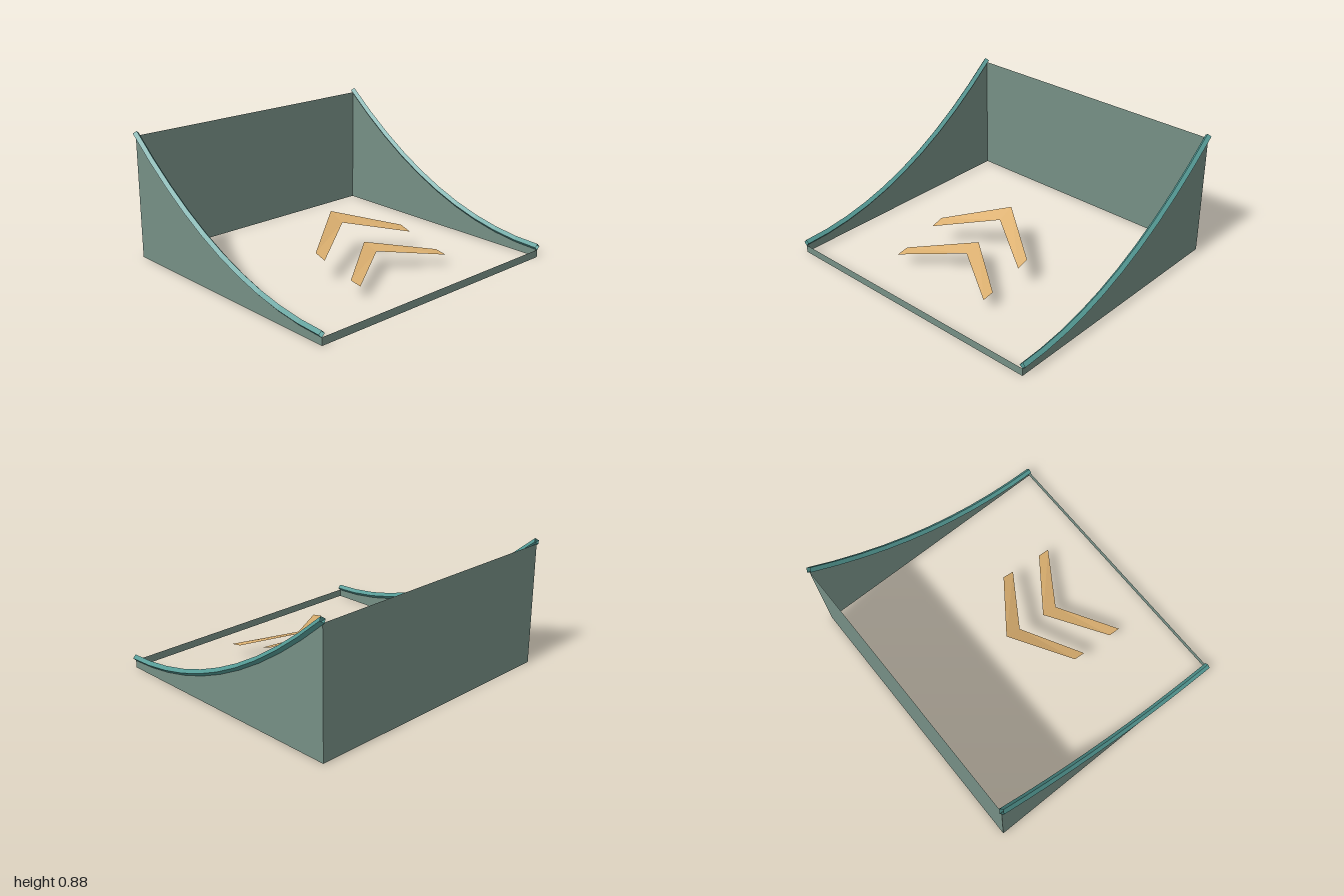
import * as THREE from 'three';

const FRONT = 0.915, BACK = -0.9, LOW = 0.053, HIGH = 0.848, SIDE = 0.978;
const STEPS = 10;

// Height of the ramp's curve at depth z
function rampY(z) {
  const t = (FRONT - z) / (FRONT - BACK);
  return LOW + (HIGH - LOW) * t * t;
}

export function createModel() {
  const group = new THREE.Group();
  const material = (name, color) => {
    const m = new THREE.MeshStandardMaterial({ color, flatShading: true, side: THREE.DoubleSide });
    m.name = name;
    return m;
  };
  const wallMat = material('greyGreen', 0x768f85);
  const railMat = material('teal', 0x549a95);
  const arrowMat = material('sand', 0xdcb070);

  const add = (name, geometry, mat, x = 0, y = 0, z = 0) => {
    const mesh = new THREE.Mesh(geometry, mat);
    mesh.name = name;
    mesh.position.set(x, y, z);
    group.add(mesh);
  };

  // Side wall outline, following the ramp's curve
  const outline = new THREE.Shape();
  outline.moveTo(-FRONT, 0);
  outline.lineTo(-BACK, 0);
  for (let i = STEPS; i >= 0; i--) {
    const z = FRONT + (BACK - FRONT) * i / STEPS;
    outline.lineTo(-z, rampY(z));
  }
  const sideGeo = new THREE.ShapeGeometry(outline).rotateY(Math.PI / 2);

  // Rail: four-sided tube along the curve, evenly stepped in depth
  const path = new THREE.QuadraticBezierCurve3(
    new THREE.Vector3(0, LOW + 0.02, FRONT),
    new THREE.Vector3(0, LOW + 0.02, (FRONT + BACK) / 2),
    new THREE.Vector3(0, HIGH + 0.02, BACK));
  path.getUtoTmapping = u => u;
  const railGeo = new THREE.TubeGeometry(path, STEPS, 0.022, 4);

  for (const [side, s] of [['left', 1], ['right', -1]]) {
    add(side + 'Wall', s > 0 ? sideGeo : sideGeo.clone().scale(-1, 1, 1), wallMat, s * SIDE);
    add(side + 'Rail', railGeo, railMat, s * SIDE);
  }

  // Low front lip and tall back wall
  add('frontLip', new THREE.PlaneGeometry(2 * SIDE, LOW), wallMat, 0, LOW / 2, FRONT);
  add('backWall', new THREE.PlaneGeometry(2 * SIDE, HIGH).rotateY(Math.PI), wallMat, 0, HIGH / 2, BACK);

  // Chevron arrows floating just above the curve
  const chevron = z0 => {
    const corners = [[-0.39, 0.285], [-0.39, 0.37], [0, 0], [0, 0.115], [0.39, 0.285], [0.39, 0.37]];
    const points = corners.map(([x, dz]) => new THREE.Vector3(x, rampY(z0 + dz) + 0.012, z0 + dz));
    const geo = new THREE.BufferGeometry().setFromPoints(points);
    geo.setIndex([0, 1, 3, 0, 3, 2, 2, 3, 5, 2, 5, 4]);
    const flat = geo.toNonIndexed();
    flat.computeVertexNormals();
    return flat;
  };
  add('frontArrow', chevron(0.24), arrowMat);
  add('backArrow', chevron(-0.085), arrowMat);

  return group;
}
